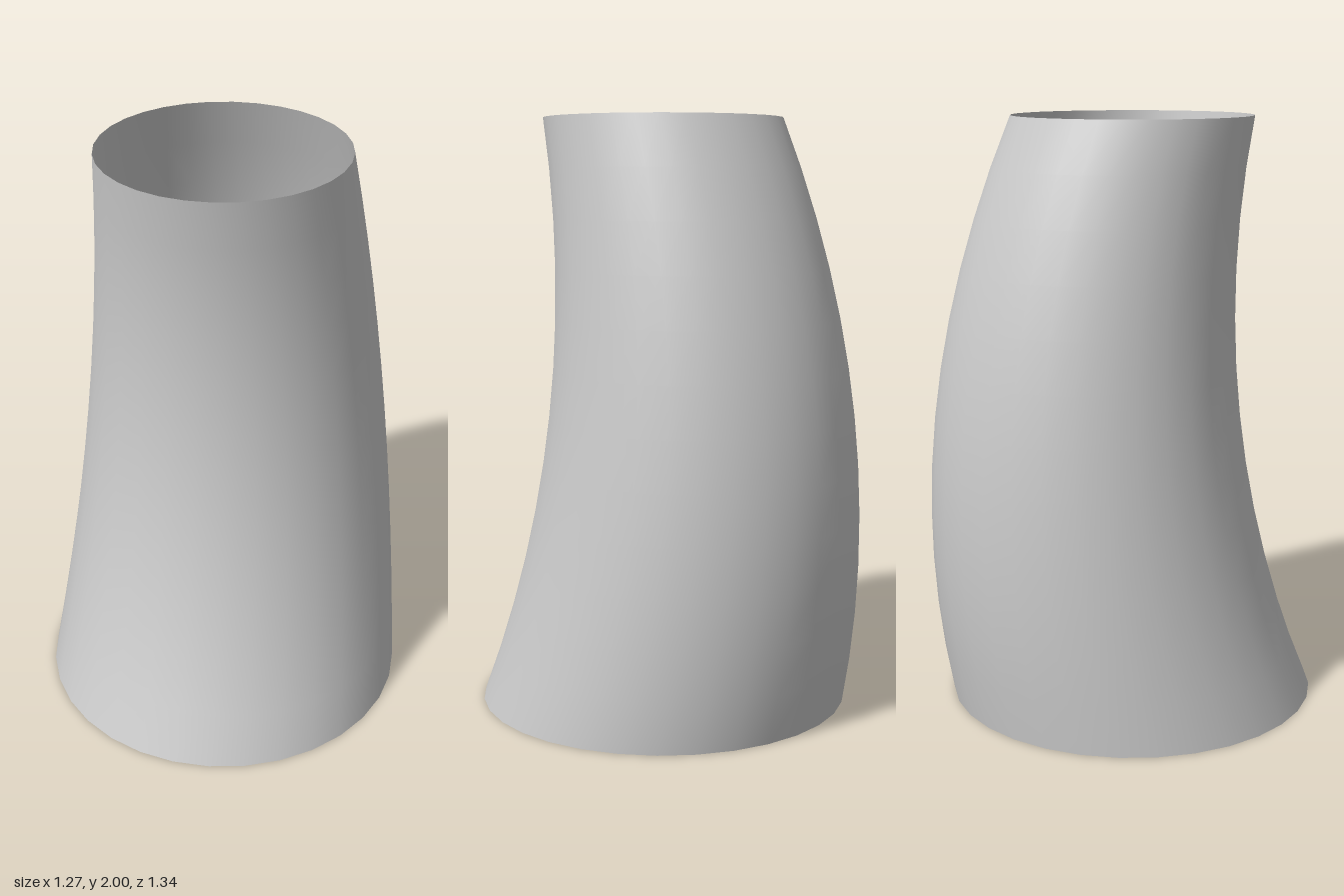
import * as THREE from 'three';
import { mergeVertices } from 'three/addons/utils/BufferGeometryUtils.js';

const HEIGHT = 2, BOTTOM_RADIUS = 0.635, TOP_RADIUS = 0.405;
const END_Z = 0.03, BOW = 0.16;

export function createModel() {
  const group = new THREE.Group();
  group.name = 'bowedSleeve';

  // Open tapered tube whose level rings are shifted back along a parabola
  let geometry = new THREE.CylinderGeometry(TOP_RADIUS, BOTTOM_RADIUS, HEIGHT, 32, 12, true);
  geometry.translate(0, HEIGHT / 2, 0);
  const position = geometry.attributes.position;
  for (let i = 0; i < position.count; i++) {
    const t = position.getY(i) / HEIGHT;
    position.setZ(i, position.getZ(i) + END_Z - BOW * 4 * t * (1 - t));
  }

  // Weld the seam so the shading is smooth all the way round
  geometry.deleteAttribute('uv');
  geometry.deleteAttribute('normal');
  geometry = mergeVertices(geometry);
  geometry.computeVertexNormals();

  const sleeve = new THREE.Mesh(
    geometry,
    new THREE.MeshStandardMaterial({ color: 0xcccccc, side: THREE.DoubleSide })
  );
  sleeve.name = 'sleeve';
  group.add(sleeve);
  return group;
}
